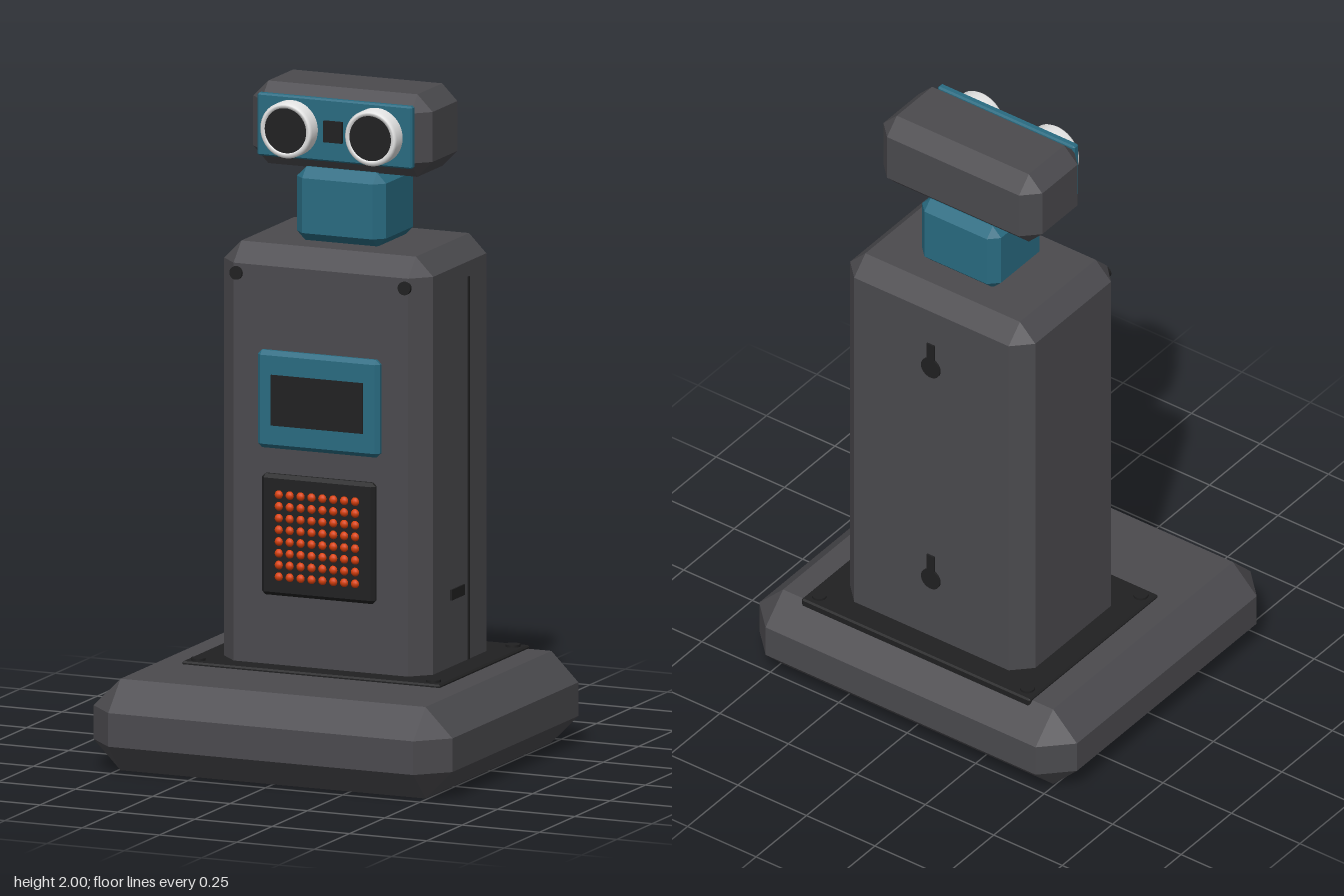
import * as THREE from 'three';
import { ConvexGeometry } from 'three/addons/geometries/ConvexGeometry.js';

const mat = (name, color) => {
  const m = new THREE.MeshStandardMaterial({ color });
  m.name = name;
  return m;
};

// Box with every edge cut at 45 degrees, given by its [min, max] on each axis
function chamferBox([x0, x1], [y0, y1], [z0, z1], c) {
  const pts = [];
  for (const i of [0, 1]) for (const j of [0, 1]) for (const k of [0, 1]) {
    const p = [i ? x1 : x0, j ? y1 : y0, k ? z1 : z0];
    const s = [i ? -c : c, j ? -c : c, k ? -c : c];
    for (let face = 0; face < 3; face++) {
      pts.push(new THREE.Vector3(...p.map((v, a) => (a === face ? v : v + s[a]))));
    }
  }
  return new ConvexGeometry(pts);
}

export function createModel() {
  const model = new THREE.Group();
  model.name = 'deskRobot';
  const grey = mat('casing grey', 0x4b4a4e);
  const teal = mat('teal', 0x296b81);
  const black = mat('black', 0x202021);
  const white = mat('white', 0xececec);
  const orange = mat('orange', 0xd8400c);

  const add = (name, geo, material, x = 0, y = 0, z = 0) => {
    const m = new THREE.Mesh(geo, material);
    m.name = name;
    m.position.set(x, y, z);
    model.add(m);
    return m;
  };
  const block = (name, xs, ys, zs, c, material) => add(name, chamferBox(xs, ys, zs, c), material);
  // Cylinder whose axis runs along z
  const disc = (r, depth) => new THREE.CylinderGeometry(r, r, depth, 32).rotateX(Math.PI / 2);

  // Casing
  block('base', [-0.58, 0.58], [0, 0.275], [-0.533, 0.533], 0.087, grey);
  block('basePlate', [-0.417, 0.417], [0.255, 0.284], [-0.46, 0.18], 0.005, black);
  block('body', [-0.338, 0.338], [0.2, 1.535], [-0.38, 0.108], 0.056, grey);
  block('neck', [-0.144, 0.144], [1.53, 1.755], [-0.26, -0.01], 0.03, teal);
  block('head', [-0.29, 0.29], [1.752, 2], [-0.273, 0], 0.049, grey);

  // Screws on the base plate and at the top of the front
  for (const x of [-1, 1]) {
    for (const z of [-0.42, 0.143]) {
      add('baseScrew', new THREE.CylinderGeometry(0.022, 0.022, 0.012, 24), black, x * 0.38, 0.285, z);
    }
    add('bodyScrew', disc(0.02, 0.012), black, x * 0.272, 1.45, 0.11);
  }

  // Display
  block('displayFrame', [-0.199, 0.196], [0.935, 1.228], [0.095, 0.13], 0.013, teal);
  add('displayScreen', new THREE.BoxGeometry(0.297, 0.152, 0.008), black, -0.002, 1.082, 0.13);

  // Light matrix
  block('lightPanel', [-0.186, 0.181], [0.494, 0.858], [0.095, 0.128], 0.011, black);
  const bulb = new THREE.SphereGeometry(0.0135, 12, 8);
  for (let row = 0; row < 8; row++) {
    for (let col = 0; col < 8; col++) {
      add('light', bulb, orange, -0.003 + (col - 3.5) * 0.0352, 0.676 + (row - 3.5) * 0.0352, 0.126);
    }
  }

  // Face: sensor board, two eyes and the chip between them
  block('faceBoard', [-0.25, 0.25], [1.786, 1.974], [-0.012, 0.012], 0.005, teal);
  const rim = [[0.084, 0], [0.084, 0.042], [0.078, 0.05], [0.068, 0.05], [0.068, 0.04]];
  const rimGeo = new THREE.LatheGeometry(rim.map(p => new THREE.Vector2(...p)), 40).rotateX(Math.PI / 2);
  const rimMat = white;
  rimMat.side = THREE.DoubleSide;
  for (const s of [-1, 1]) {
    add('eyeRim', rimGeo, rimMat, s * 0.137, 1.878, 0.01);
    add('eyeLens', disc(0.069, 0.04), black, s * 0.137, 1.878, 0.036);
  }
  add('faceChip', new THREE.BoxGeometry(0.06, 0.064, 0.02), black, -0.002, 1.878, 0.012);

  // Side seam and port
  add('sideSeam', new THREE.BoxGeometry(0.01, 1.155, 0.01), black, 0.337, 0.857, -0.195);
  add('sidePort', new THREE.BoxGeometry(0.012, 0.032, 0.093), black, 0.337, 0.5, -0.115);

  // Keyhole hangers on the back
  for (const y of [1.275, 0.497]) {
    add('keyhole', disc(0.034, 0.012), black, 0, y, -0.38);
    add('keyholeSlot', new THREE.BoxGeometry(0.028, 0.085, 0.012), black, 0, y + 0.043, -0.38);
  }
  return model;
}
